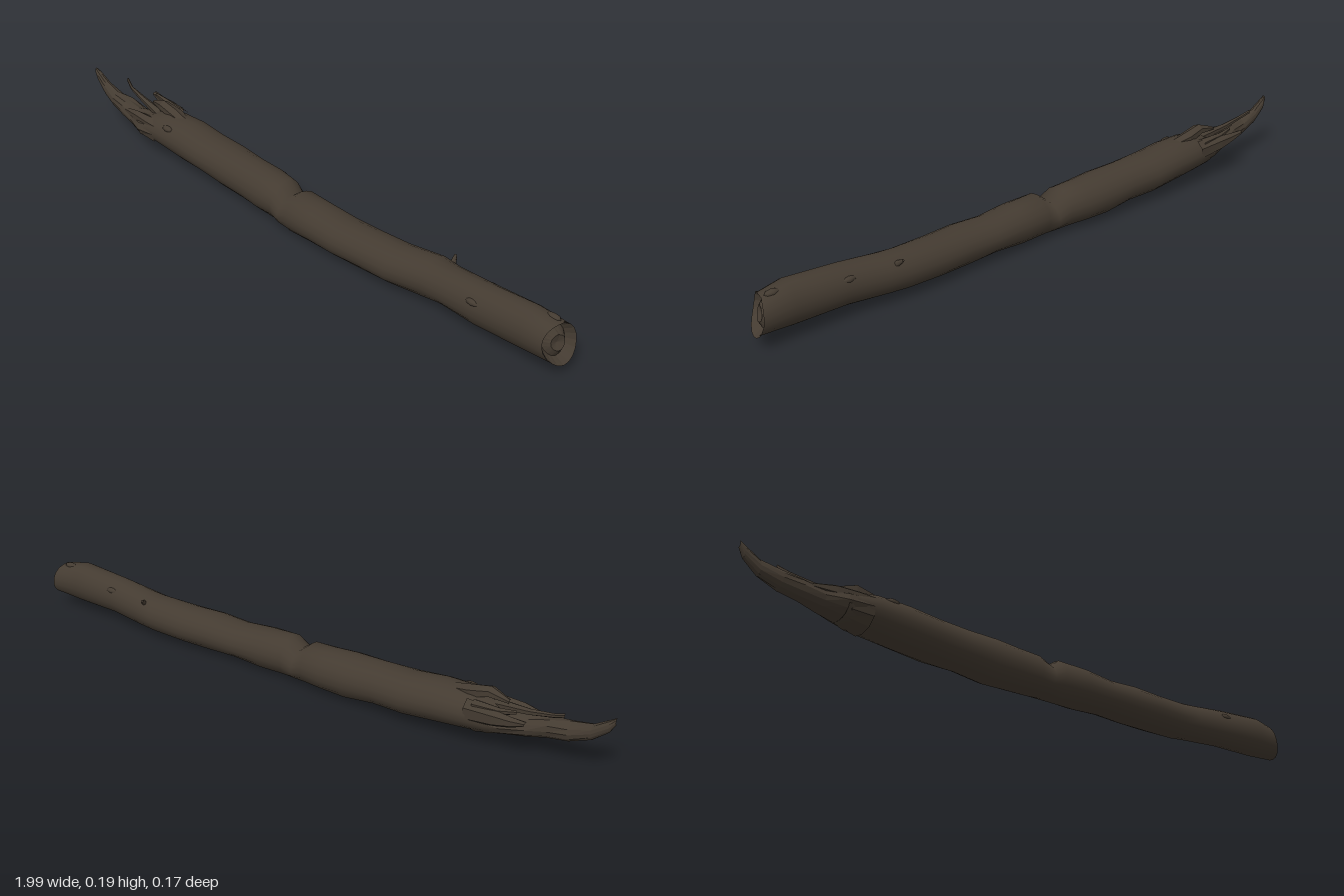
import * as THREE from 'three';

const bark = new THREE.MeshStandardMaterial({ color: 0x443b31 });
bark.name = 'dark bark';

// Small repeatable roughness in -1..1
const rough = (i, j) => Math.sin(i * 12.99 + j * 78.23) * Math.cos(i * 4.1 - j * 2.7);

// Lofts ellipses along x. Station: [x, bottom, top, back z, front z]
function loft(name, stations, { segs = 18, bump = 0, endShift = null, capStart = true, capEnd = true, flat = false } = {}) {
  const pos = [], idx = [], last = stations.length - 1;
  stations.forEach(([x, y0, y1, z0, z1], i) => {
    for (let j = 0; j < segs; j++) {
      const a = (j / segs) * Math.PI * 2;
      const k = 1 + bump * (rough(i, j) - 0.5);
      const shift = endShift && i === last ? endShift(Math.cos(a), Math.sin(a), j) : 0;
      pos.push(x + shift,
        (y0 + y1) / 2 + Math.cos(a) * k * (y1 - y0) / 2,
        (z0 + z1) / 2 + Math.sin(a) * k * (z1 - z0) / 2);
    }
  });
  for (let i = 0; i < last; i++) {
    for (let j = 0; j < segs; j++) {
      const a = i * segs + j, b = i * segs + (j + 1) % segs, c = a + segs, d = b + segs;
      idx.push(a, b, c, b, d, c);
    }
  }
  // Pinch the open ends shut
  const cap = (row, flip) => {
    const [x, y0, y1, z0, z1] = stations[row];
    const centre = pos.length / 3;
    pos.push(x, (y0 + y1) / 2, (z0 + z1) / 2);
    for (let j = 0; j < segs; j++) {
      const a = row * segs + j, b = row * segs + (j + 1) % segs;
      if (flip) idx.push(centre, b, a); else idx.push(centre, a, b);
    }
  };
  if (capStart) cap(0, false);
  if (capEnd) cap(last, true);
  let geo = new THREE.BufferGeometry();
  geo.setAttribute('position', new THREE.Float32BufferAttribute(pos, 3));
  geo.setIndex(idx);
  if (flat) geo = geo.toNonIndexed();
  geo.computeVertexNormals();
  const mesh = new THREE.Mesh(geo, bark);
  mesh.name = name;
  return mesh;
}

// Jagged right edge: low back side sticks out, top front side is cut short
const tornEdge = (up, front, j) => -0.014 * up - 0.016 * front + 0.009 * rough(3, j);

// Torn wood face, recessed inside the right end
function brokenFace() {
  const segs = 18, pos = [], idx = [];
  const rings = [[1, 0], [0.72, -0.022], [0.4, -0.004]];
  rings.forEach(([r, dx], i) => {
    for (let j = 0; j < segs; j++) {
      const a = (j / segs) * Math.PI * 2, c = Math.cos(a), s = Math.sin(a);
      const k = i ? r * (1 + 0.12 * rough(i, j)) : 1 + 0.05 * (rough(18, j) - 0.5);
      pos.push(0.967 + dx + tornEdge(c, s, j) * r, 0.099 + c * k * 0.059, 0.015 + s * k * 0.055);
    }
  });
  pos.push(0.958, 0.098, 0.015);
  for (let j = 0; j < segs; j++) {
    const n = (j + 1) % segs;
    for (let i = 0; i < 2; i++) {
      const a = i * segs + j, b = i * segs + n, c = a + segs, d = b + segs;
      idx.push(a, b, c, b, d, c);
    }
    idx.push(2 * segs + j, 2 * segs + n, 3 * segs);
  }
  let geo = new THREE.BufferGeometry();
  geo.setAttribute('position', new THREE.Float32BufferAttribute(pos, 3));
  geo.setIndex(idx);
  geo = geo.toNonIndexed();
  geo.computeVertexNormals();
  const mesh = new THREE.Mesh(geo, bark);
  mesh.name = 'brokenFace';
  return mesh;
}

export function createModel() {
  const log = new THREE.Group();
  log.name = 'brokenLog';

  // Main trunk, gently bowed, with a notch in the middle
  log.add(loft('trunk', [
    [-0.70, 0.050, 0.125, -0.050, 0.062],
    [-0.66, 0.045, 0.148, -0.075, 0.066],
    [-0.60, 0.040, 0.162, -0.086, 0.066],
    [-0.50, 0.033, 0.160, -0.088, 0.067],
    [-0.40, 0.025, 0.153, -0.086, 0.067],
    [-0.30, 0.017, 0.152, -0.082, 0.069],
    [-0.20, 0.010, 0.147, -0.080, 0.068],
    [-0.12, 0.010, 0.144, -0.074, 0.070],
    [-0.05, 0.009, 0.138, -0.064, 0.074],
    [-0.01, 0.008, 0.110, -0.056, 0.078],
    [0.03, 0.006, 0.137, -0.056, 0.082],
    [0.12, 0.008, 0.134, -0.055, 0.087],
    [0.22, 0.010, 0.128, -0.056, 0.088],
    [0.32, 0.011, 0.131, -0.058, 0.084],
    [0.42, 0.014, 0.133, -0.060, 0.078],
    [0.54, 0.020, 0.142, -0.066, 0.066],
    [0.60, 0.024, 0.146, -0.060, 0.065],
    [0.72, 0.030, 0.156, -0.045, 0.070],
    [0.88, 0.036, 0.168, -0.040, 0.073],
    [0.967, 0.040, 0.158, -0.040, 0.070],
  ], { bump: 0.05, endShift: tornEdge, capEnd: false }));
  log.add(brokenFace());

  // Long tongue left where the trunk tore away
  log.add(loft('tornTongue', [
    [-1.0, 0.172, 0.192, -0.004, 0.010],
    [-0.985, 0.140, 0.184, -0.012, 0.014],
    [-0.94, 0.105, 0.158, -0.020, 0.020],
    [-0.88, 0.083, 0.140, -0.022, 0.032],
    [-0.82, 0.070, 0.138, -0.030, 0.040],
    [-0.76, 0.058, 0.126, -0.042, 0.054],
    [-0.70, 0.049, 0.130, -0.062, 0.064],
    [-0.62, 0.041, 0.150, -0.080, 0.066],
  ], { segs: 12, bump: 0.12, flat: true }));

  // Splinters around the tear
  const splinters = {
    backSplinter: [
      [-0.785, 0.135, 0.147, -0.090, -0.070], [-0.74, 0.112, 0.150, -0.092, -0.062],
      [-0.69, 0.098, 0.152, -0.091, -0.050], [-0.60, 0.080, 0.150, -0.086, -0.030]],
    raisedSplinter: [
      [-0.71, 0.152, 0.164, -0.030, -0.012], [-0.65, 0.148, 0.187, -0.040, 0.010],
      [-0.59, 0.130, 0.176, -0.042, 0.012], [-0.52, 0.130, 0.156, -0.030, 0.010]],
    thinSplinter: [
      [-0.875, 0.168, 0.183, -0.042, -0.032], [-0.84, 0.152, 0.168, -0.032, -0.020],
      [-0.77, 0.135, 0.156, -0.030, -0.008], [-0.66, 0.115, 0.148, -0.026, 0.012]],
    frontSplinter: [
      [-0.80, 0.105, 0.122, 0.022, 0.040], [-0.73, 0.095, 0.138, 0.018, 0.054],
      [-0.66, 0.085, 0.142, 0.012, 0.062], [-0.58, 0.080, 0.138, 0.010, 0.058]],
    forkSplinter: [
      [-0.75, 0.150, 0.162, -0.066, -0.056], [-0.70, 0.132, 0.158, -0.076, -0.052],
      [-0.62, 0.118, 0.156, -0.076, -0.036]],
  };
  for (const [name, stations] of Object.entries(splinters)) {
    log.add(loft(name, stations, { segs: 6, bump: 0.15, flat: true }));
  }

  // Snapped twig stub and a few low knots
  const stub = new THREE.Mesh(new THREE.CylinderGeometry(0.004, 0.011, 0.034, 6), bark);
  stub.name = 'twigStub';
  stub.position.set(0.57, 0.128, -0.046);
  stub.rotation.set(-0.9, 0, 0.3);
  log.add(stub);
  for (const [x, y, z] of [[0.72, 0.118, 0.057], [-0.56, 0.135, 0.045], [0.72, 0.125, -0.028], [0.93, 0.154, 0.0]]) {
    const knot = new THREE.Mesh(new THREE.SphereGeometry(1, 8, 6), bark);
    knot.name = 'knot';
    knot.scale.set(0.024, 0.010, 0.012);
    knot.position.set(x, y, z);
    log.add(knot);
  }
  return log;
}
